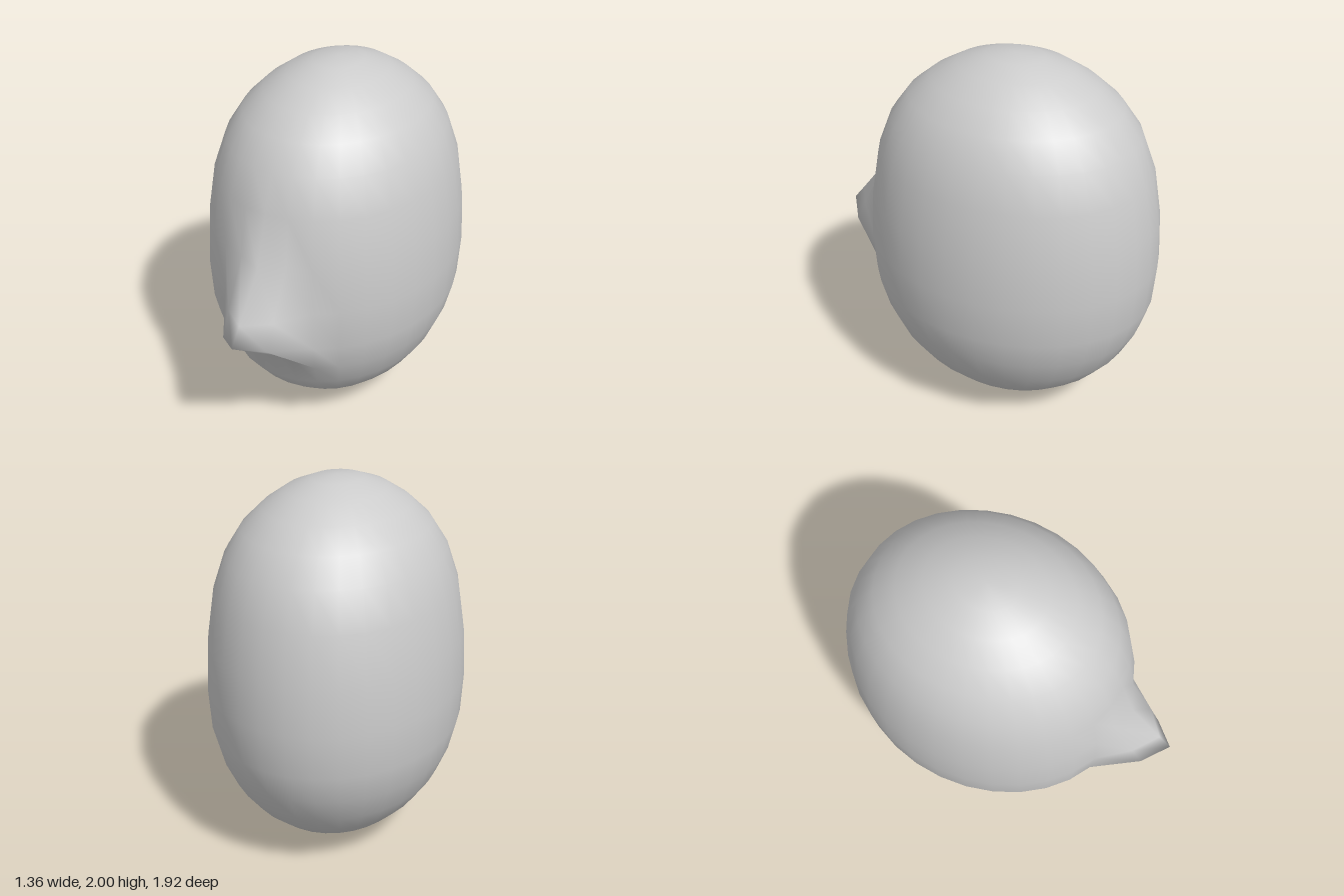
import * as THREE from 'three';
import { mergeVertices } from 'three/addons/utils/BufferGeometryUtils.js';

const COLS = 32, ROWS = 16, FRONT = 8; // FRONT is the column facing +z

// Height of each ring, crown to chin
const ringY = [2, 1.985, 1.935, 1.855, 1.755, 1.62, 1.43, 1.17, 0.92,
  0.69, 0.53, 0.38, 0.255, 0.15, 0.07, 0.018, 0.004];

// Nose pull: ring, columns away from the middle, forward and upward shift
const nosePull = [
  [7, 0, 0.04, -0.01],
  [8, 0, 0.21, 0.01], [8, 1, 0.12, 0],
  [9, 0, 0.30, 0.15], [9, 1, 0.20, 0.10],
  [10, 0, 0.03, 0.16], [10, 1, 0.005, 0.06],
];

function headGeometry() {
  const geo = new THREE.SphereGeometry(1, COLS, ROWS);
  const pos = geo.attributes.position;

  // Egg-shaped skull
  for (let i = 0; i < pos.count; i++) {
    const ring = Math.floor(i / (COLS + 1));
    pos.setXYZ(i, pos.getX(i) * 0.68, ringY[ring], pos.getZ(i) * 0.82 - 0.14);
  }

  // Nose drawn out of the face, mirrored left and right
  for (const [ring, offset, forward, up] of nosePull) {
    for (const side of offset ? [-1, 1] : [1]) {
      const i = ring * (COLS + 1) + FRONT + side * offset;
      pos.setY(i, pos.getY(i) + up);
      pos.setZ(i, pos.getZ(i) + forward);
    }
  }

  // Weld the seam and poles for continuous smooth shading
  geo.deleteAttribute('uv');
  geo.deleteAttribute('normal');
  const welded = mergeVertices(geo, 1e-4);
  welded.computeVertexNormals();
  return welded;
}

export function createModel() {
  const group = new THREE.Group();
  group.name = 'headModel';
  const head = new THREE.Mesh(headGeometry(), new THREE.MeshStandardMaterial({ color: 0xcccccc }));
  head.name = 'headWithNose';
  group.add(head);
  return group;
}
